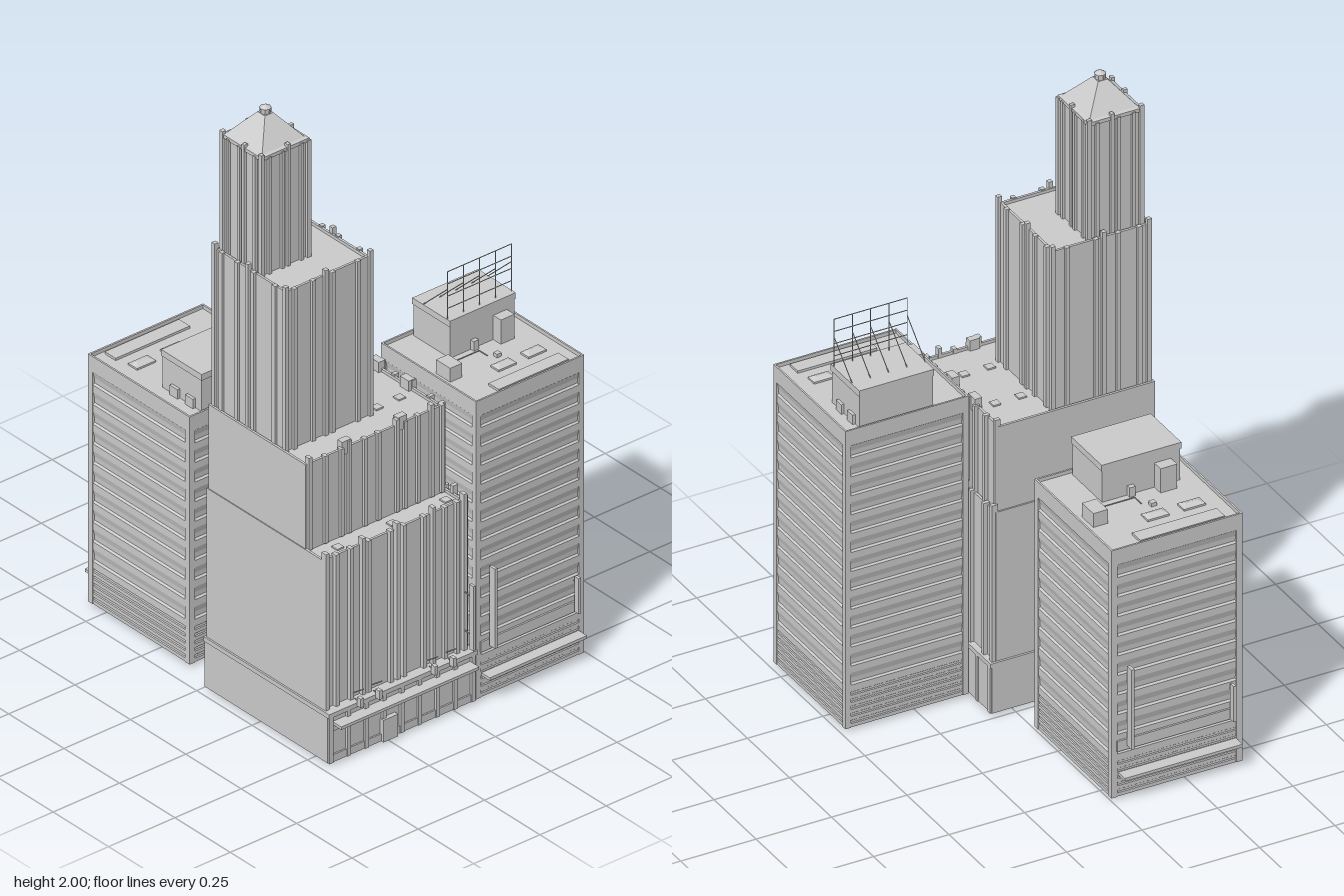
import * as THREE from 'three';

const mat = new THREE.MeshStandardMaterial({ color: 0xcccccc, flatShading: true });
const shellMat = new THREE.MeshStandardMaterial({ color: 0xcccccc, flatShading: true, side: THREE.DoubleSide });

function add(parent, name, geo, material = mat) {
  const m = new THREE.Mesh(geo, material);
  m.name = name;
  parent.add(m);
  return m;
}

function box(parent, name, x0, x1, y0, y1, z0, z1) {
  const m = add(parent, name, new THREE.BoxGeometry(x1 - x0, y1 - y0, z1 - z0));
  m.position.set((x0 + x1) / 2, (y0 + y1) / 2, (z0 + z1) / 2);
  return m;
}

// thin round bar between two points
function bar(parent, name, a, b, r = 0.002) {
  const p = new THREE.Vector3(...a), q = new THREE.Vector3(...b);
  const m = add(parent, name, new THREE.CylinderGeometry(r, r, p.distanceTo(q), 5));
  m.position.copy(p).add(q).multiplyScalar(0.5);
  m.quaternion.setFromUnitVectors(new THREE.Vector3(0, 1, 0), q.sub(p).normalize());
}

// rectangular rings stacked along a profile of [inset, y], closed on top and open below
function loft(parent, name, [x0, x1, z0, z1], profile) {
  const pos = [];
  const quad = (a, b, c, d) => pos.push(...a, ...b, ...c, ...a, ...c, ...d);
  const rings = profile.map(([i, y]) => [
    [x0 + i, y, z1 - i], [x1 - i, y, z1 - i], [x1 - i, y, z0 + i], [x0 + i, y, z0 + i]]);
  for (let r = 0; r < rings.length - 1; r++)
    for (let k = 0; k < 4; k++) {
      const n = (k + 1) % 4;
      quad(rings[r][k], rings[r][n], rings[r + 1][n], rings[r + 1][k]);
    }
  quad(...rings[rings.length - 1]);
  const g = new THREE.BufferGeometry();
  g.setAttribute('position', new THREE.Float32BufferAttribute(pos, 3));
  g.computeVertexNormals();
  return add(parent, name, g, shellMat);
}

// office block with ribbon windows, centred on its own footprint
function officeBlock(name, h, floors) {
  const g = new THREE.Group();
  g.name = name;
  const X = 0.229, Z = 0.217, y0 = 0.01, low = 0.13, top = h - 0.055;
  // walls: fine ledges at street level, then one ribbon of windows per floor
  const prof = [[0.002, y0]];
  for (let i = 0; i < 5; i++) {
    const s = (low - y0) / 5, y = y0 + s * i;
    prof.push([0.002, y + s * 0.5], [0.005, y + s * 0.6], [0.005, y + s * 0.9], [0.002, y + s]);
  }
  const s = (top - low) / floors;
  for (let i = 0; i < floors; i++) {
    const y = low + i * s;
    prof.push([0.002, y + s * 0.36], [0.008, y + s * 0.44], [0.007, y + s * 0.7], [0.002, y + s]);
  }
  prof.push([0, top + 0.002], [0, h], [0.006, h], [0.006, h - 0.012]);
  loft(g, 'walls', [-X, X, -Z, Z], prof);
  for (const sx of [-1, 1]) for (const sz of [-1, 1]) {
    const cx = sx * (X - 0.01), cz = sz * (Z - 0.01);
    box(g, 'cornerPier', cx - 0.01, cx + 0.01, y0, top + 0.002, cz - 0.01, cz + 0.01);
  }
  // roof structures
  const r = h - 0.014;
  box(g, 'penthouse', 0.037, 0.213, r, h + 0.095, -0.1, 0.158);
  box(g, 'penthouseCap', 0.034, 0.216, h + 0.095, h + 0.116, -0.103, 0.161);
  box(g, 'stairHead', 0.0, 0.037, r, h + 0.07, 0.073, 0.128);
  box(g, 'ventHousing', -0.072, -0.004, r, h + 0.035, -0.19, -0.142);
  box(g, 'roofDuct', -0.212, -0.163, r, h - 0.004, -0.112, 0.168);
  box(g, 'roofHatch', -0.055, -0.037, r, h, 0.012, 0.03);
  bar(g, 'roofPipe', [0.004, h - 0.004, -0.15], [0.004, h - 0.004, -0.01]);
  bar(g, 'roofPipe', [0.004, h - 0.004, -0.01], [-0.035, h - 0.004, -0.01]);
  for (const z of [-0.037, 0.083]) {
    loft(g, 'skylight', [-0.122, -0.082, z, z + 0.072],
      [[0, r], [0, h - 0.006], [0.016, h + 0.001]]);
    box(g, 'wallVent', 0.022, 0.037, r, h + 0.02, z + 0.02, z + 0.04);
  }
  for (const x of [0.08, 0.15]) box(g, 'rearVent', x, x + 0.035, r, h + 0.02, 0.158, 0.168);
  // street side canopy and upright signs
  box(g, 'canopy', -X - 0.04, -X, 0.083, 0.093, -0.195, 0.195);
  box(g, 'tallSign', -X - 0.035, -X - 0.008, 0.18, 0.45, -0.17, -0.16);
  box(g, 'smallSign', -X - 0.03, -X - 0.01, 0.17, 0.29, 0.17, 0.18);
  for (const y of [0.2, 0.28, 0.42]) bar(g, 'signBracket', [-X - 0.02, y, -0.165], [-X, y, -0.165]);
  for (const y of [0.19, 0.27]) bar(g, 'signBracket', [-X - 0.02, y, 0.175], [-X, y, 0.175]);
  box(g, 'signBand', -X - 0.004, -X + 0.005, 0.165, 0.2, -0.2, 0.19);
  return g;
}

// open lattice standing on a penthouse roof
function rooftopFrame(parent, base) {
  const g = new THREE.Group();
  g.name = 'rooftopFrame';
  parent.add(g);
  for (let i = 0; i < 5; i++) {
    const z = -0.1 + i * 0.0645;
    bar(g, 'framePost', [0.05, base, z], [0.05, base + 0.16, z], 0.0016);
    bar(g, 'frameBrace', [0.05, base + 0.1, z], [0.165, base, z], 0.0016);
  }
  for (let j = 0; j < 4; j++) {
    const y = base + 0.035 + j * 0.0415;
    bar(g, 'frameRail', [0.05, y, -0.1], [0.05, y, 0.158], 0.0016);
  }
}

// piers along one face: axis 'x' runs along x at z = at, axis 'z' runs along z at x = at
function piers(parent, axis, at, stations, y0, y1, w, d) {
  stations.forEach((s, i) => {
    const top = y1 + (i % 3 === 0 ? 0.025 : 0.008), h = w / 2, e = d / 2;
    if (axis === 'x') box(parent, 'pier', s - h, s + h, y0, top, at - e, at + e);
    else box(parent, 'pier', at - e, at + e, y0, top, s - h, s + h);
  });
}

const spread = (a, b, n) => Array.from({ length: n }, (_, i) => a + (b - a) * i / (n - 1));

// a tier's roof with a low parapet
const tier = (y0, y1) => [[0, y0], [0, y1], [0.008, y1], [0.008, y1 - 0.01]];

function steppedTower() {
  const g = new THREE.Group();
  g.name = 'steppedTower';
  // street level
  box(g, 'footing', 0.17, 0.55, 0, 0.012, 0.03, 0.43);
  box(g, 'base', 0.01, 0.565, 0.01, 0.178, -0.074, 0.478);
  box(g, 'baseCornice', 0.008, 0.575, 0.165, 0.18, -0.079, 0.481);
  box(g, 'streetCanopy', 0.565, 0.605, 0.135, 0.145, -0.06, 0.46);
  spread(-0.066, 0.47, 9).forEach(z => box(g, 'shopPier', 0.56, 0.573, 0.01, 0.165, z - 0.007, z + 0.007));
  spread(0.02, 0.555, 8).forEach(x => box(g, 'rearShopPier', x - 0.007, x + 0.007, 0.01, 0.165, -0.078, -0.07));
  box(g, 'shopSill', 0.56, 0.57, 0.01, 0.035, -0.07, 0.47);
  box(g, 'shopHead', 0.56, 0.57, 0.115, 0.135, -0.07, 0.47);
  box(g, 'entrance', 0.56, 0.58, 0.01, 0.085, 0.225, 0.28);
  for (const z of [0.02, 0.09, 0.3, 0.37]) {
    bar(g, 'flagPole', [0.55, 0.2, z], [0.598, 0.235, z]);
    box(g, 'lamp', 0.575, 0.592, 0.17, 0.2, z - 0.006, z + 0.006);
    bar(g, 'lampArm', [0.56, 0.185, z], [0.58, 0.185, z]);
  }
  box(g, 'uprightSign', 0.58, 0.598, 0.2, 0.42, -0.052, -0.044);
  for (const y of [0.25, 0.38]) bar(g, 'signBracket', [0.53, y, -0.048], [0.59, y, -0.048]);

  // lower tier, with plain party walls on the front and right-hand sides
  loft(g, 'lowerTier', [0.015, 0.54, -0.058, 0.475], tier(0.17, 0.685));
  piers(g, 'z', 0.543, [0.468, 0.43, 0.375, 0.33, 0.31, 0.225, 0.2, 0.175, 0.1, 0.065, 0.02, -0.025, -0.052], 0.18, 0.685, 0.013, 0.02);
  piers(g, 'x', -0.061, [0.022, 0.07, 0.15, 0.18, 0.24, 0.29, 0.32, 0.4, 0.45, 0.49, 0.535], 0.18, 0.685, 0.013, 0.02);

  // middle tier
  loft(g, 'middleTier', [0.02, 0.458, -0.046, 0.472], tier(0.67, 0.97));
  piers(g, 'z', 0.458, [0.46, 0.4, 0.34, 0.31, 0.25, 0.2, 0.13, 0.1, 0.05, 0.0, -0.04], 0.68, 0.968, 0.013, 0.018);
  piers(g, 'x', -0.048, [0.028, 0.09, 0.15, 0.18, 0.24, 0.29, 0.32, 0.4, 0.45], 0.68, 0.968, 0.013, 0.018);

  // hatches and vents on the two setbacks
  const hatch = (x, y, z) => box(g, 'roofHatch', x - 0.013, x + 0.013, y - 0.012, y, z - 0.013, z + 0.013);
  for (const x of [0.15, 0.335]) for (const z of [0.015, 0.1]) hatch(x, 0.965, z);
  for (const z of [-0.022, 0.18, 0.385]) hatch(0.5, 0.68, z);
  for (const z of [0.11, 0.32]) box(g, 'parapetBlock', 0.44, 0.462, 0.95, 0.995, z - 0.017, z + 0.017);
  for (const x of [0.17, 0.305]) box(g, 'parapetBlock', x - 0.02, x + 0.02, 0.95, 0.995, -0.052, -0.028);

  // upper shafts, ribbed on all four sides
  const shaft = (name, [x0, x1, z0, z1], y0, y1, f, w) => {
    loft(g, name, [x0 + 0.009, x1 - 0.009, z0 + 0.009, z1 - 0.009], tier(y0, y1));
    const px = f.map(t => x0 + w / 2 + t * (x1 - x0 - w)), pz = f.map(t => z1 - w / 2 - t * (z1 - z0 - w));
    for (const z of [z0 + 0.007, z1 - 0.007]) piers(g, 'x', z, px, y0, y1 - 0.004, w, 0.014);
    for (const x of [x0 + 0.007, x1 - 0.007]) piers(g, 'z', x, pz, y0, y1 - 0.004, w, 0.014);
  };
  shaft('upperShaft', [0.027, 0.36, 0.133, 0.466], 0.955, 1.5, [0, 0.1, 0.32, 0.47, 0.55, 0.85, 1], 0.014);
  shaft('topShaft', [0.043, 0.233, 0.262, 0.45], 1.485, 1.882, [0, 0.16, 0.44, 0.56, 0.84, 1], 0.011);

  // pyramid roof with a lantern
  loft(g, 'pyramidRoof', [0.047, 0.229, 0.266, 0.446],
    [[0, 1.88], [0, 1.892], [0.01, 1.895], [0.074, 1.972]]);
  const lantern = add(g, 'lantern', new THREE.CylinderGeometry(0.018, 0.016, 0.018, 8));
  lantern.position.set(0.138, 1.98, 0.356);
  const tip = add(g, 'lanternTip', new THREE.ConeGeometry(0.018, 0.011, 8));
  tip.position.set(0.138, 1.9945, 0.356);
  return g;
}

export function createModel() {
  const model = new THREE.Group();
  model.name = 'cityBlock';
  model.add(steppedTower());

  const low = officeBlock('lowOfficeBlock', 0.85, 10);
  low.position.set(-0.34, 0, 0.217);
  model.add(low);

  // the taller block is turned half around
  const tall = officeBlock('tallOfficeBlock', 1.02, 13);
  rooftopFrame(tall, 1.136);
  tall.position.set(0.355, 0, -0.282);
  tall.rotation.y = Math.PI;
  tall.scale.set(0.935, 1, 0.94);
  model.add(tall);
  return model;
}
